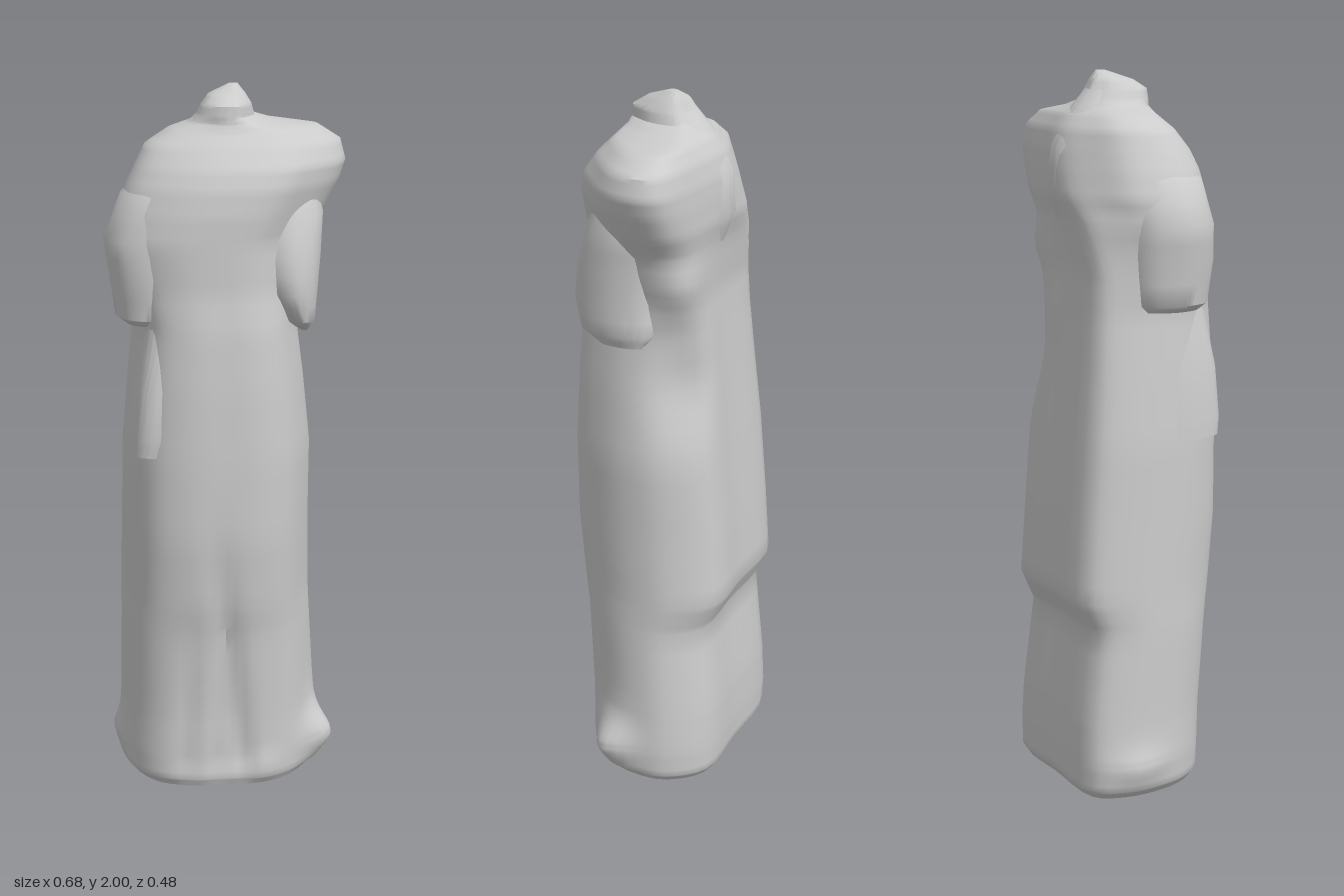
import * as THREE from 'three';
import { toCreasedNormals } from 'three/addons/utils/BufferGeometryUtils.js';

// Unit outlines (x, z), walked from the front towards +x
const ROBE = [[0, 1], [0.35, 0.98], [0.65, 0.82], [0.87, 0.44], [1, 0], [0.98, -0.5], [0.66, -0.98], [0, -1],
  [-0.82, -0.98], [-1, -0.56], [-1, 0.1], [-0.92, 0.46], [-0.73, 0.79], [-0.4, 0.97]];
const SHOULDERS = [[-0.05, 1], [0.32, 0.93], [0.6, 0.64], [0.9, 0.18], [1, -0.28], [0.94, -0.64], [0.76, -0.8],
  [0.25, -0.92], [-0.22, -1], [-0.58, -0.8], [-0.88, -0.5], [-1, 0.12], [-0.88, 0.56], [-0.45, 0.92]];
const N = 56;

function ringOf(points) {
  const curve = new THREE.CatmullRomCurve3(points.map(([x, z]) => new THREE.Vector3(x, 0, z)), true, 'centripetal');
  return Array.from({ length: N }, (_, i) => curve.getPoint(i / N));
}
const robeRing = ringOf(ROBE);
const shoulderRing = ringOf(SHOULDERS);
const roundRing = ringOf([[0, 1], [0.71, 0.71], [1, 0], [0.71, -0.71], [0, -1], [-0.71, -0.71], [-1, 0], [-0.71, 0.71]]);

// Loft rows of [y, xMin, xMax, zFront, zBack, blend from ringA to ringB]; shape(p) may move each vertex
function loft(rows, steps, ringA, ringB, shape = () => {}) {
  const full = [];
  rows.forEach((r, i) => {
    const next = rows[i + 1];
    if (!next) return full.push(r);
    for (let s = 0; s < steps; s++) full.push(r.map((v, k) => THREE.MathUtils.lerp(v, next[k], s / steps)));
  });
  const pos = [], index = [];
  const p = new THREE.Vector3();
  for (const [y, x0, x1, zf, zb, blend = 0] of full) {
    for (let i = 0; i < N; i++) {
      p.lerpVectors(ringA[i], ringB[i], blend);
      p.set((x0 + x1) / 2 + p.x * (x1 - x0) / 2, y, (zf + zb) / 2 + p.z * (zf - zb) / 2);
      shape(p);
      pos.push(p.x, p.y, p.z);
    }
  }
  for (let j = 0; j < full.length - 1; j++) {
    for (let i = 0; i < N; i++) {
      const a = j * N + i, b = j * N + (i + 1) % N;
      index.push(a, b, b + N, a, b + N, a + N);
    }
  }
  // End caps
  for (const [row, top] of [[full[0], false], [full[full.length - 1], true]]) {
    const c = pos.length / 3, base = top ? (full.length - 1) * N : 0;
    pos.push((row[1] + row[2]) / 2, row[0], (row[3] + row[4]) / 2);
    for (let i = 0; i < N; i++) {
      const a = base + i, b = base + (i + 1) % N;
      if (top) index.push(a, b, c); else index.push(b, a, c);
    }
  }
  const g = new THREE.BufferGeometry();
  g.setAttribute('position', new THREE.Float32BufferAttribute(pos, 3));
  g.setIndex(index);
  return toCreasedNormals(g, 0.75);
}

// Drapery grooves on the front: [x at hem, x at top, y of top, width, depth]
const GROOVES = [[0.03, -0.07, 0.88, 0.03, 0.022], [-0.05, -0.05, 0.5, 0.028, 0.018],
  [-0.14, -0.12, 0.6, 0.03, 0.015]];
// Swellings and hollows: [x, y, z, radius, height, push x, push z]
const SWELLS = [
  [0.26, 0.1, 0.05, 0.07, 0.07, 0.06, 0.025],
  [-0.29, 0.09, -0.1, 0.08, 0.05, -0.02, 0],
  [0.08, 0.05, 0.17, 0.06, 0.05, 0, 0.012],
  [0.18, 1.22, -0.15, 0.09, 0.12, -0.035, 0.012],
  [0.17, 1.5, -0.15, 0.08, 0.08, 0.035, -0.012],
];

function drape(p) {
  if (p.z > 0.04) {
    for (const [xa, xb, top, width, depth] of GROOVES) {
      if (p.y > top) continue;
      const t = p.y / top;
      const d = (p.x - THREE.MathUtils.lerp(xa, xb, t)) / width;
      p.z -= depth * Math.exp(-d * d) * Math.min(1, (1 - t) * 2, p.y / 0.08);
    }
  }
  for (const [x, y, z, radius, height, dx, dz] of SWELLS) {
    const w = Math.exp(-((p.x - x) ** 2 + (p.z - z) ** 2) / radius ** 2 - ((p.y - y) / height) ** 2);
    p.x += dx * w;
    p.z += dz * w;
  }
}

export function createModel() {
  const group = new THREE.Group();
  const material = new THREE.MeshStandardMaterial({ color: 0xcccccc });
  const add = (name, geometry) => {
    const mesh = new THREE.Mesh(geometry, material);
    mesh.name = name;
    group.add(mesh);
  };
  const addRound = (name, rows) => add(name, loft(rows, 2, roundRing, roundRing));

  // Long robe, torso with sloping shoulders, and neck stump
  add('robedBody', loft([
    [0, -0.28, 0.25, 0.165, -0.21, 0],
    [0.025, -0.3, 0.268, 0.178, -0.226, 0],
    [0.1, -0.304, 0.27, 0.18, -0.228, 0],
    [0.14, -0.302, 0.268, 0.182, -0.227, 0],
    [0.22, -0.299, 0.262, 0.185, -0.224, 0],
    [0.48, -0.296, 0.243, 0.203, -0.197, 0],
    [0.57, -0.294, 0.24, 0.218, -0.238, 0],
    [0.77, -0.29, 0.235, 0.237, -0.225, 0],
    [1.0, -0.286, 0.235, 0.238, -0.206, 0],
    [1.2, -0.27, 0.214, 0.232, -0.187, 0],
    [1.36, -0.255, 0.192, 0.222, -0.174, 0],
    [1.46, -0.275, 0.194, 0.208, -0.17, 0.2],
    [1.6, -0.318, 0.237, 0.208, -0.188, 0.7],
    [1.67, -0.307, 0.285, 0.208, -0.203, 0.95],
    [1.74, -0.28, 0.322, 0.2, -0.198, 1],
    [1.79, -0.255, 0.339, 0.182, -0.191, 1],
    [1.845, -0.225, 0.325, 0.14, -0.175, 1],
    [1.885, -0.16, 0.262, 0.1, -0.15, 1],
    [1.905, -0.1, 0.13, 0.088, -0.125, 1],
    [1.92, -0.085, 0.08, 0.087, -0.11, 1],
    [1.95, -0.07, 0.07, 0.085, -0.09, 1],
    [1.975, -0.05, 0.055, 0.045, -0.075, 1],
    [2.0, 0.01, 0.035, -0.025, -0.052, 1],
  ], 4, robeRing, shoulderRing, drape));

  // Loose sleeve over the right arm
  addRound('rightSleeve', [
    [1.365, -0.29, -0.17, 0.12, -0.06],
    [1.385, -0.314, -0.15, 0.145, -0.075],
    [1.5, -0.33, -0.12, 0.163, -0.09],
    [1.6, -0.345, -0.08, 0.163, -0.1],
    [1.72, -0.294, -0.02, 0.155, -0.11],
    [1.8, -0.2, 0, 0.1, -0.08],
  ]);

  // Cloth hanging below the left arm, ending in a point
  addRound('leftHangingCloth', [
    [1.335, 0.19, 0.222, 0.09, -0.03],
    [1.37, 0.14, 0.238, 0.155, -0.06],
    [1.45, 0.08, 0.243, 0.183, -0.065],
    [1.55, 0.05, 0.252, 0.177, -0.07],
    [1.66, 0.04, 0.262, 0.145, -0.09],
    [1.76, 0.04, 0.24, 0.1, -0.08],
  ]);

  // Ridge of cloth falling from the nape
  addRound('napeFold', [
    [1.6, -0.07, 0.07, -0.06, -0.178],
    [1.68, -0.09, 0.09, -0.05, -0.205],
    [1.8, -0.09, 0.09, -0.02, -0.197],
    [1.88, -0.085, 0.085, 0.02, -0.152],
    [1.95, -0.055, 0.055, 0.02, -0.092],
  ]);

  // Short overfold on the right hip
  add('rightOverfold', loft([
    [1.01, -0.287, -0.15, 0.187, 0],
    [1.06, -0.284, -0.14, 0.194, 0],
    [1.2, -0.269, -0.12, 0.19, 0],
    [1.36, -0.24, -0.1, 0.165, 0],
  ], 2, robeRing, robeRing));
  return group;
}
